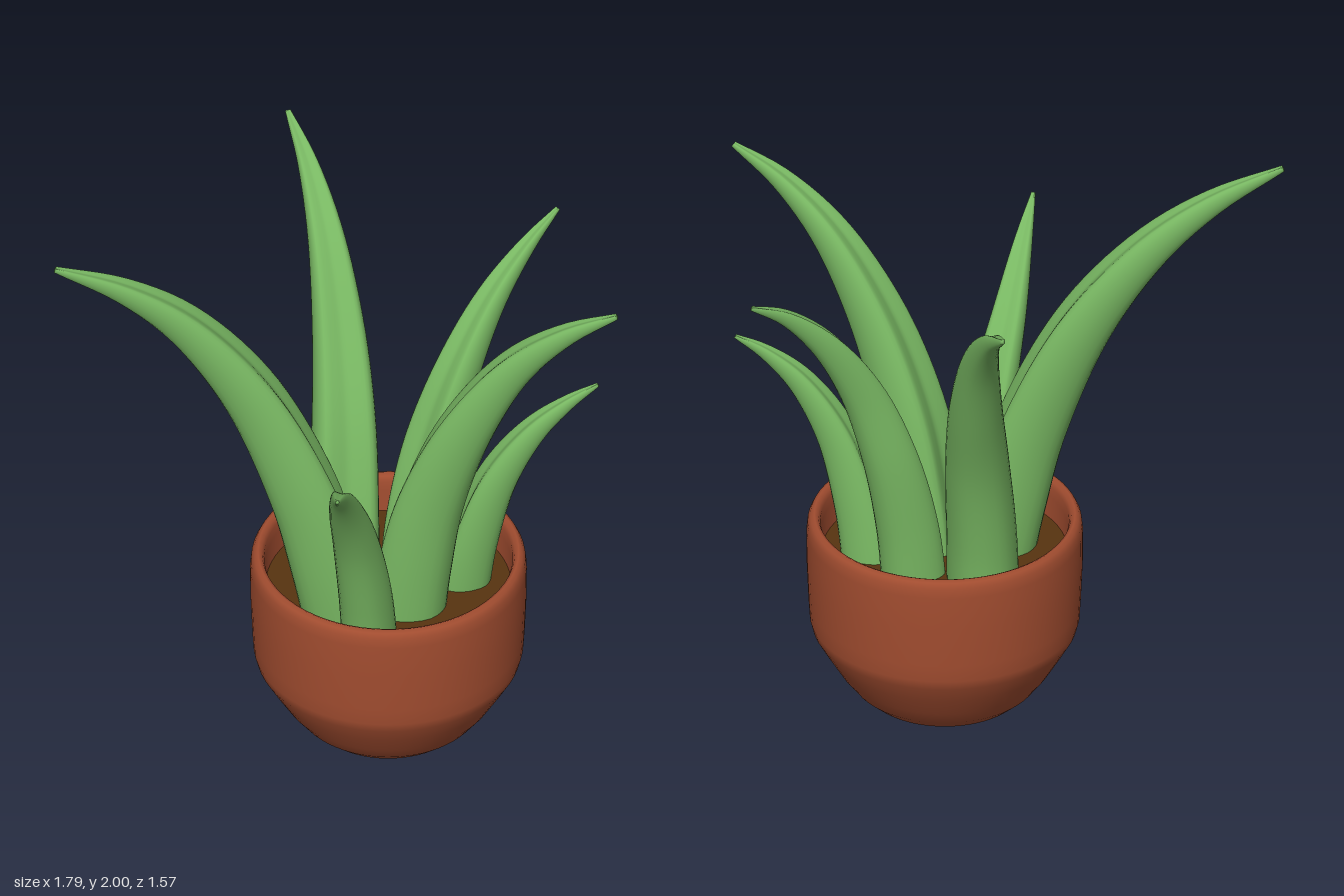
import * as THREE from 'three';

const POT_X = 0.188, POT_Z = 0.12;
const leafMat = new THREE.MeshStandardMaterial({ color: 0x78b762 });
const potMat = new THREE.MeshStandardMaterial({ color: 0xa24d30 });
const soilMat = new THREE.MeshStandardMaterial({ color: 0x573410 });
const v2 = (list) => list.map(([x, y]) => new THREE.Vector2(x, y));

// Leaf section: rounded back, gently hollowed inner face
const section = new THREE.CatmullRomCurve3(
  [[0, -1], [0.6, -0.78], [0.95, -0.15], [0.97, 0.5], [0.74, 0.88], [0.35, 0.84],
    [0, 0.76], [-0.35, 0.84], [-0.74, 0.88], [-0.97, 0.5], [-0.95, -0.15], [-0.6, -0.78]]
    .map(([x, y]) => new THREE.Vector3(x, y, 0)), true).getPoints(36).slice(0, -1);

// Sweep the section along a centre line, tapering to the tip
function leafGeometry(points, width) {
  const curve = new THREE.CatmullRomCurve3(points.map((p) => new THREE.Vector3(...p)));
  const up = new THREE.Vector3(0, 1, 0);
  const reach = curve.getPoint(1).sub(curve.getPoint(0)).setY(0).normalize();
  const side = new THREE.Vector3().crossVectors(up, reach);
  const steps = 36, n = section.length, pos = [], index = [];
  for (let i = 0; i <= steps + 1; i++) {
    const t = Math.min(i / steps, 1);
    const w = i > steps ? 0 : width * (1 - 0.92 * Math.pow(t, 2));
    const centre = curve.getPointAt(t);
    const inner = new THREE.Vector3().crossVectors(curve.getTangentAt(t), side).normalize();
    for (const s of section) {
      const p = centre.clone().addScaledVector(side, s.x * w).addScaledVector(inner, s.y * w);
      pos.push(p.x, p.y, p.z);
    }
    if (i > steps) continue;
    for (let j = 0; j < n; j++) {
      const a = i * n + j, b = i * n + (j + 1) % n;
      index.push(a, b, a + n, b, b + n, a + n);
    }
  }
  const geo = new THREE.BufferGeometry();
  geo.setAttribute('position', new THREE.Float32BufferAttribute(pos, 3));
  geo.setIndex(index);
  geo.computeVertexNormals();
  return geo;
}

// Half width and centre line of each leaf
const leaves = {
  leftLongLeaf: [0.128, [[0.02, 0.48, 0.15], [-0.03, 0.72, 0.14], [-0.1, 1, 0.115],
    [-0.26, 1.4, 0.045], [-0.47, 1.7, -0.02], [-0.67, 1.87, -0.06], [-0.895, 1.995, -0.1]]],
  backLeaf: [0.118, [[0.1, 0.48, -0.075], [0.11, 0.72, -0.1], [0.14, 1.03, -0.17],
    [0.17, 1.3, -0.285], [0.19, 1.58, -0.445], [0.195, 1.76, -0.615], [0.19, 1.865, -0.78]]],
  rightLeaf: [0.1, [[0.315, 0.48, 0.03], [0.34, 0.72, 0.02], [0.4, 1, 0],
    [0.495, 1.27, -0.015], [0.625, 1.49, -0.055], [0.765, 1.635, -0.1], [0.89, 1.715, -0.15]]],
  frontRightLeaf: [0.123, [[0.215, 0.48, 0.215], [0.235, 0.72, 0.24], [0.275, 1, 0.28],
    [0.365, 1.32, 0.36], [0.5, 1.6, 0.46], [0.64, 1.765, 0.56], [0.78, 1.865, 0.65]]],
  rightShortLeaf: [0.085, [[0.43, 0.48, 0.16], [0.46, 0.72, 0.19], [0.53, 0.98, 0.23],
    [0.64, 1.17, 0.27], [0.75, 1.275, 0.3], [0.845, 1.335, 0.32]]],
  frontLeftLeaf: [0.09, [[0.04, 0.48, 0.32], [0.01, 0.72, 0.355], [-0.05, 1, 0.42],
    [-0.12, 1.21, 0.515], [-0.185, 1.37, 0.635], [-0.25, 1.48, 0.775]]],
};

export function createModel() {
  const plant = new THREE.Group();
  plant.name = 'pottedPlant';

  // Pot wall: drain hole, rounded base, tall collar, rounded rim and inside
  const pot = new THREE.Mesh(new THREE.LatheGeometry(v2([
    [0.03, 0.06], [0.03, 0.015], [0.04, 0.006], [0.16, 0.004], [0.21, 0.018], [0.26, 0.045],
    [0.305, 0.085], [0.35, 0.145], [0.395, 0.22], [0.432, 0.285], [0.441, 0.32], [0.445, 0.38],
    [0.451, 0.52], [0.452, 0.64], [0.448, 0.675], [0.439, 0.693], [0.426, 0.7], [0.413, 0.693],
    [0.406, 0.675], [0.404, 0.64], [0.4, 0.5], [0.392, 0.32], [0.35, 0.22], [0.28, 0.11],
    [0.2, 0.06], [0.03, 0.06]]), 64), potMat);
  pot.name = 'pot';

  // Soil surface inside the rim
  const soil = new THREE.Mesh(new THREE.CylinderGeometry(0.403, 0.402, 0.04, 64), soilMat);
  soil.name = 'soil';
  soil.position.y = 0.54;

  const container = new THREE.Group();
  container.name = 'potWithSoil';
  container.position.set(POT_X, -0.004, POT_Z);
  container.add(pot, soil);
  plant.add(container);

  // Curved leaves fanning out of the soil
  for (const [name, [width, points]] of Object.entries(leaves)) {
    const leaf = new THREE.Mesh(leafGeometry(points, width), leafMat);
    leaf.name = name;
    plant.add(leaf);
  }
  return plant;
}
